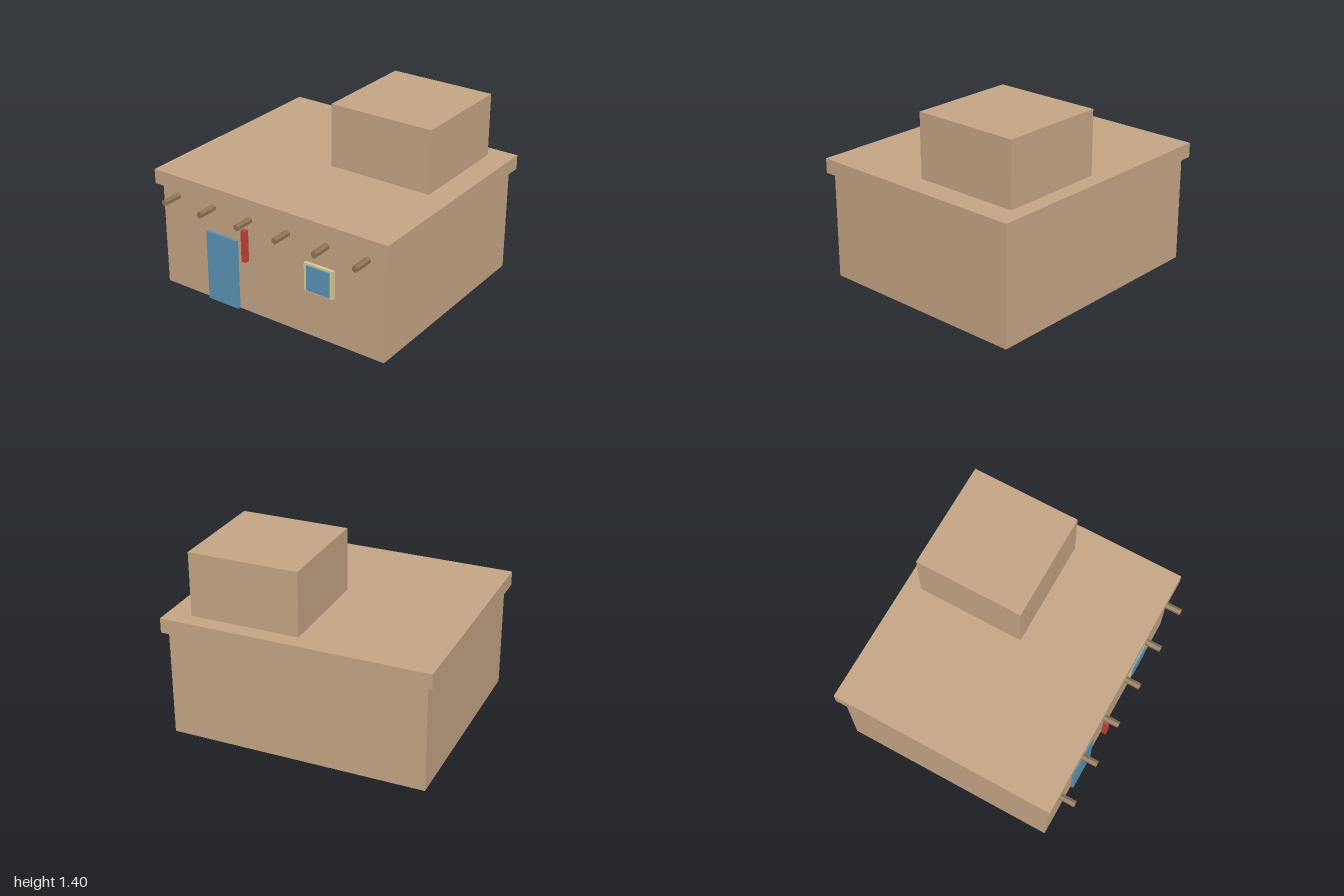
import * as THREE from 'three';

const material = (color) => new THREE.MeshStandardMaterial({ color, flatShading: true });

// Box given by its minimum and maximum on each axis
function block(name, [x0, x1], [y0, y1], [z0, z1], mat) {
  const mesh = new THREE.Mesh(new THREE.BoxGeometry(x1 - x0, y1 - y0, z1 - z0), mat);
  mesh.position.set((x0 + x1) / 2, (y0 + y1) / 2, (z0 + z1) / 2);
  mesh.name = name;
  return mesh;
}

export function createModel() {
  const house = new THREE.Group();
  house.name = 'adobeHouse';

  const adobe = material(0xc4a484);
  const wood = material(0x8f7356);
  const blue = material(0x5a93b5);
  const cream = material(0xdccb90);
  const red = material(0xc24038);

  // Walls, overhanging roof slab and the upper room at the back
  house.add(
    block('walls', [-0.96, 0.96], [0, 0.81], [-0.877, 0.767], adobe),
    block('roofSlab', [-1, 1], [0.81, 0.92], [-0.917, 0.807], adobe),
    block('upperRoom', [0, 0.82], [0.92, 1.4], [-0.795, 0.026], adobe)
  );

  // Door and framed window on the front wall
  house.add(block('door', [-0.55, -0.277], [0, 0.55], [0.75, 0.79], blue));
  const window = new THREE.Group();
  window.name = 'window';
  window.add(
    block('windowFrame', [0.315, 0.557], [0.36, 0.577], [0.75, 0.79], cream),
    block('windowPane', [0.342, 0.53], [0.372, 0.563], [0.76, 0.801], blue)
  );
  house.add(window);

  // Red hanging strip in front of the wall
  house.add(block('hangingStrip', [-0.187, -0.15], [0.443, 0.686], [0.806, 0.844], red));

  // Row of six hexagonal roof beam ends
  const beams = new THREE.Group();
  beams.name = 'roofBeams';
  const beamGeometry = new THREE.CylinderGeometry(0.025, 0.025, 0.22, 6);
  beamGeometry.rotateX(Math.PI / 2);
  for (let i = 0; i < 6; i++) {
    const beam = new THREE.Mesh(beamGeometry, wood);
    beam.name = 'roofBeam';
    beam.position.set(-0.82 + i * 0.328, 0.743, 0.807);
    beams.add(beam);
  }
  house.add(beams);

  return house;
}
